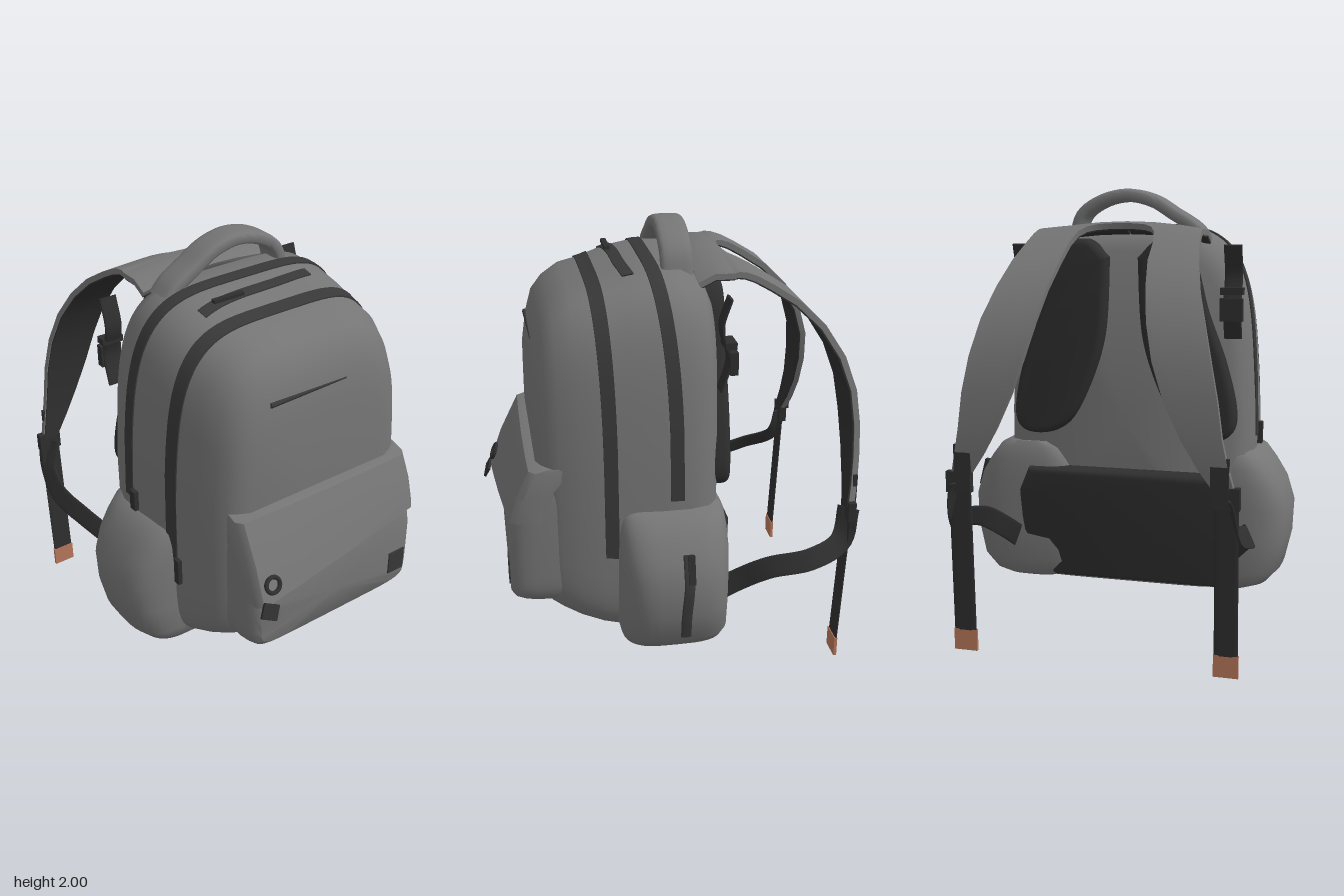
import * as THREE from 'three';
import { toCreasedNormals } from 'three/addons/utils/BufferGeometryUtils.js';

const V = (x, y, z) => new THREE.Vector3(x, y, z);
const mat = (name, color) => Object.assign(new THREE.MeshStandardMaterial({ color }), { name });
const spow = (v, p) => Math.sign(v) * Math.abs(v) ** p;
const lerp = THREE.MathUtils.lerp;

// Closed skin through equal-length rings, capped at both ends and turned outwards.
function loft(rings, crease = 0.7) {
  const n = rings[0].length, pts = rings.flat(), idx = [];
  for (let r = 0; r < rings.length - 1; r++) {
    for (let i = 0; i < n; i++) {
      const j = (i + 1) % n, a = r * n;
      idx.push(a + i, a + j, a + n + j, a + i, a + n + j, a + n + i);
    }
  }
  const cap = (start, flip) => {
    const c = V(0, 0, 0);
    for (let i = 0; i < n; i++) c.addScaledVector(pts[start + i], 1 / n);
    pts.push(c);
    for (let i = 0; i < n; i++) {
      const a = start + i, b = start + (i + 1) % n;
      idx.push(pts.length - 1, flip ? b : a, flip ? a : b);
    }
  };
  cap(0, true);
  cap((rings.length - 1) * n, false);
  let vol = 0;
  for (let i = 0; i < idx.length; i += 3) {
    vol += pts[idx[i]].dot(V(0, 0, 0).crossVectors(pts[idx[i + 1]], pts[idx[i + 2]]));
  }
  if (vol < 0) idx.reverse();
  const g = new THREE.BufferGeometry().setFromPoints(pts);
  g.setIndex(idx);
  return toCreasedNormals(g, crease);
}

// Rounded band swept along a curve, its width kept along dir.
function band(points, width, thick, dir, steps = 24, n = 5) {
  const curve = new THREE.CatmullRomCurve3(points.map(p => V(...p)));
  const rings = [];
  for (let k = 0; k <= steps; k++) {
    const c = curve.getPoint(k / steps), t = curve.getTangent(k / steps);
    const normal = V(0, 0, 0).crossVectors(t, dir).normalize();
    const side = V(0, 0, 0).crossVectors(normal, t).normalize();
    rings.push(Array.from({ length: 16 }, (_, i) => {
      const a = (i + 0.5) / 16 * Math.PI * 2;
      return c.clone().addScaledVector(side, spow(Math.cos(a), 2 / n) * width / 2)
        .addScaledVector(normal, spow(Math.sin(a), 2 / n) * thick / 2);
    }));
  }
  return loft(rings);
}

// Main body sections: z, half width, bottom, top, centre x
const BODY = [[-0.188, 0.5, 0.23, 1.72, -0.01], [-0.15, 0.555, 0.17, 1.79, -0.01], [-0.06, 0.582, 0.14, 1.835, -0.012],
  [0.06, 0.582, 0.145, 1.835, -0.012], [0.2, 0.57, 0.17, 1.81, -0.01], [0.32, 0.55, 0.2, 1.77, 0],
  [0.42, 0.528, 0.24, 1.75, 0.008], [0.5, 0.497, 0.28, 1.7, 0.012], [0.55, 0.47, 0.31, 1.64, 0.015],
  [0.58, 0.435, 0.36, 1.54, 0.015], [0.6, 0.38, 0.44, 1.42, 0.015]];
function bodyPoint(a, z, pad = 0) {
  let i = 0;
  while (i < BODY.length - 2 && z > BODY[i + 1][0]) i++;
  const k = (z - BODY[i][0]) / (BODY[i + 1][0] - BODY[i][0]);
  const [w, y0, y1, cx] = [1, 2, 3, 4].map(j => lerp(BODY[i][j], BODY[i + 1][j], k));
  const s = Math.sin(a), e = s > 0 ? 0.46 : 0.25, v = spow(s, e);
  const taper = 1 - 0.08 * Math.max(v, 0);
  return V(cx + (w * taper + pad) * spow(Math.cos(a), e), (y0 + y1) / 2 + ((y1 - y0) / 2 + pad) * v, z);
}
const circle = (n, f) => Array.from({ length: n }, (_, i) => f(i / n * Math.PI * 2));

// Thin strip lying on the body between two angles
function bodyStrip(a0, a1, zAt, width) {
  const rings = [];
  for (let k = 0; k <= 96; k++) {
    const a = lerp(a0, a1, k / 96), z = zAt(k / 96);
    rings.push([[-1, 0.006], [0, 0.006], [1, 0.006], [1, -0.01], [0, -0.01], [-1, -0.01]]
      .map(([d, pad]) => bodyPoint(a, z + d * width / 2, pad)));
  }
  return loft(rings);
}

// Shoulder strap rows: y, z, inner edge, outer edge
const STRAP = [[1.81, -0.13, 0, 0.37], [1.84, -0.2, 0, 0.37], [1.835, -0.27, 0, 0.37], [1.832, -0.287, 0, 0.37],
  [1.831, -0.292, 0.06, 0.37], [1.828, -0.305, 0.11, 0.37], [1.82, -0.335, 0.145, 0.37], [1.8, -0.38, 0.17, 0.375],
  [1.758, -0.45, 0.185, 0.385], [1.685, -0.56, 0.19, 0.405], [1.575, -0.67, 0.21, 0.435], [1.445, -0.752, 0.235, 0.475],
  [1.3, -0.8, 0.27, 0.51], [1.15, -0.815, 0.32, 0.54], [1, -0.815, 0.39, 0.56], [0.88, -0.805, 0.46, 0.585],
  [0.78, -0.79, 0.53, 0.61]];
function strapLayer(s, lo, hi, inset) {
  return loft(STRAP.map(([y, z, a, b], i) => {
    const p = STRAP[Math.max(i - 1, 0)], q = STRAP[Math.min(i + 1, STRAP.length - 1)];
    const ty = q[0] - p[0], tz = q[1] - p[1], l = Math.hypot(ty, tz);
    // the outer edges droop near the yoke
    const droop = 0.04 * Math.max(0, 1 - i / 10);
    const at = (u, d) => {
      const x = lerp(a + inset, b - inset, u);
      return V(s * x - 0.03, y - tz / l * d - droop * (x / 0.37) ** 2, z + ty / l * d);
    };
    const across = [0, 0.33, 0.67, 1];
    return [...across.map(u => at(u, hi)), ...across.reverse().map(u => at(u, lo))];
  }));
}

export function createModel() {
  const root = new THREE.Group();
  root.name = 'backpack';
  const fabric = mat('grey fabric', 0x757575), trim = mat('dark zip', 0x383838);
  const padding = mat('black padding', 0x2e2e2e), leather = mat('tan leather', 0xb4765a);
  const add = (name, geo, m, pos = [0, 0, 0], rot = [0, 0, 0]) => {
    const mesh = new THREE.Mesh(geo, m);
    mesh.name = name;
    mesh.position.set(...pos);
    mesh.rotation.set(...rot);
    root.add(mesh);
  };
  const box = (...d) => new THREE.BoxGeometry(...d);
  const X = V(1, 0, 0), Z = V(0, 0, 1);

  // Body and its zips
  add('body', loft(BODY.map(b => circle(192, a => bodyPoint(a, b[0])))), fabric);
  add('frontZip', bodyStrip(-0.05, Math.PI + 0.05, k => 0.285 + 0.03 * Math.sin(k * Math.PI), 0.06), trim);
  add('mainZip', bodyStrip(-0.0003, Math.PI + 0.0003, k => 0.0 + 0.06 * Math.sin(k * Math.PI), 0.06), trim);
  add('topZip', bodyStrip(1.33, 1.9, k => lerp(0.165, 0.205, k), 0.05), trim);
  add('topZipPull', box(0.15, 0.015, 0.025), padding, [-0.19, 1.83, 0.205]);
  add('frontZipPull', box(0.02, 0.13, 0.035), padding, [-0.56, 0.63, 0.33]);
  add('mainZipPull', box(0.03, 0.1, 0.04), padding, [-0.6, 0.88, 0.05]);
  add('frontSlit', new THREE.CylinderGeometry(0.012, 0.004, 0.4, 8).rotateZ(Math.PI / 2), trim, [-0.05, 1.51, 0.583]);

  // Front pocket: z, half width, bottom, top
  const pocket = [[0.5, 0.475, 0.33, 1.03], [0.62, 0.475, 0.335, 1], [0.67, 0.465, 0.345, 0.9],
    [0.71, 0.45, 0.36, 0.78], [0.735, 0.42, 0.39, 0.64]];
  add('frontPocket', loft(pocket.map(([z, w, y0, y1]) => circle(64, a => V(0.025 + w * spow(Math.cos(a), 0.3),
    (y0 + y1) / 2 + (y1 - y0) / 2 * spow(Math.sin(a), 0.3), z)))), fabric);
  add('pocketPatch', box(0.09, 0.115, 0.009), trim, [0.39, 0.51, 0.737]);

  // Slanted flap, wrapped back at both ends: x, z offset
  const flap = [[-0.45, -0.12], [-0.445, -0.03], [-0.42, 0], [-0.2, 0.004], [0.05, 0.006], [0.3, 0.004],
    [0.47, 0], [0.5, -0.03], [0.51, -0.12]];
  add('pocketFlap', loft(flap.map(([x, dz]) => {
    const k = (x + 0.45) / 0.96, yb = lerp(0.66, 0.785, k), zb = lerp(0.79, 0.725, k);
    const line = [[1.035, 0.58], [1.02, 0.635], [lerp(1.02, yb, 0.5), lerp(0.635, zb, 0.5) + 0.012], [yb, zb]];
    return [...line.map(([y, z]) => V(x, y, z + dz)), ...line.reverse().map(([y, z]) => V(x, y, z + dz - 0.02))];
  })), fabric);
  add('flapRing', new THREE.TorusGeometry(0.035, 0.01, 8, 24), padding, [-0.36, 0.75, 0.765], [-0.4, 0, 0]);
  add('flapTab', box(0.08, 0.07, 0.012), padding, [-0.4, 0.645, 0.8], [-0.4, 0, -0.5]);

  // Grab handle
  add('handle', band([[-0.36, 1.77, -0.05], [-0.31, 1.825, -0.05], [-0.215, 1.885, -0.05], [-0.12, 1.942, -0.05],
    [0, 1.969, -0.05], [0.12, 1.945, -0.05], [0.215, 1.88, -0.05], [0.25, 1.77, -0.05]], 0.14, 0.06, Z, 36, 4), fabric);

  // Side pocket zip, on the left only
  add('sidePocketZip', band([[0.741, 0.29, -0.01], [0.757, 0.4, -0.01], [0.762, 0.55, -0.02], [0.724, 0.69, -0.02]],
    0.045, 0.016, Z), trim);
  add('sideZipPull', box(0.02, 0.13, 0.03), padding, [0.75, 0.63, -0.03], [0, 0, 0.25]);

  // Back pads, as outlines with a soft edge
  const pad = (name, pts, curved, z, tilt) => {
    const shape = new THREE.Shape();
    shape.moveTo(...pts[0]);
    if (curved) shape.splineThru([...pts.slice(1), pts[0]].map(p => new THREE.Vector2(...p)));
    else pts.slice(1).forEach(p => shape.lineTo(...p));
    const g = new THREE.ExtrudeGeometry(shape, { depth: 0.05, bevelThickness: 0.03, bevelSize: 0.03,
      bevelSegments: 4, curveSegments: 30 });
    add(name, toCreasedNormals(g, 0.7), padding, [0, 0, z], [tilt, 0, 0]);
  };
  pad('lumbarPad', [[-0.48, 0.22], [0.45, 0.22], [0.46, 0.6], [0.42, 0.69], [-0.44, 0.69], [-0.49, 0.6]],
    false, -0.163, -0.1);

  for (const s of [1, -1]) {
    const side = s > 0 ? 'left' : 'right';
    // Bulging side pocket: y, reach, depth scale
    const bag = [[0.178, 0.6, 0.86], [0.198, 0.665, 0.94], [0.26, 0.722, 1], [0.4, 0.755, 1], [0.55, 0.762, 1],
      [0.66, 0.727, 1], [0.74, 0.677, 0.98], [0.8, 0.63, 0.94], [0.83, 0.575, 0.88]];
    const zc = s > 0 ? 0.015 : 0.055;
    add(side + 'SidePocket', loft(bag.map(([y, x, d]) => circle(40, a =>
      V(s * (0.45 + (x - 0.45) * spow(Math.cos(a), 0.57)), y, zc + 0.247 * d * spow(Math.sin(a), 0.57)))), 1), fabric);

    // Curved upper back pad
    pad(side + 'BackPad', [[0.1, 1.68], [0.18, 1.745], [0.29, 1.69], [0.36, 1.45], [0.45, 1.2], [0.49, 0.98],
      [0.44, 0.91], [0.3, 0.94], [0.2, 1.1], [0.12, 1.35]].map(([x, y]) => [s * x - 0.015, y]), true, -0.222, 0);

    // Shoulder strap with lining, adjuster and hanging end
    add(side + 'ShoulderStrap', strapLayer(s, -0.014, 0.012, 0), fabric);
    add(side + 'StrapLining', strapLayer(s, -0.021, -0.014, 0.004), padding);
    const x = s * 0.575 - 0.03;
    add(side + 'StrapTab', box(0.075, 0.13, 0.02), padding, [x - s * 0.025, 0.86, -0.808]);
    add(side + 'Adjuster', box(0.11, 0.09, 0.035), padding, [x, 0.76, -0.79]);
    add(side + 'Webbing', band([[x, 0.8, -0.79], [x, 0.45, -0.775], [x, 0.09, -0.76]], 0.1, 0.01, X, 8), padding);
    add(side + 'LeatherEnd', box(0.105, 0.095, 0.014), leather, [x, 0.0475, -0.758]);
    add(side + 'LowerWebbing', band([[x, 0.76, -0.79], [s * 0.61 - 0.03, 0.61, -0.75], [s * 0.645 - 0.02, 0.555, -0.6],
      [s * 0.61 - 0.02, 0.51, -0.42], [s * 0.54 - 0.015, 0.42, -0.29], [s * 0.49, 0.34, -0.18]],
      0.1, 0.01, V(s * -0.5, 0.9, 0.3).normalize(), 32), padding);

    // Compression strap with buckle
    const bx = s * 0.49 - 0.025;
    add(side + 'CompressionStrap', band([[bx, 1.75, -0.235], [bx, 1.62, -0.2], [bx, 1.48, -0.235], [bx, 1.34, -0.2]],
      0.08, 0.014, X), padding);
    add(side + 'Buckle', box(0.1, 0.1, 0.035), padding, [bx, 1.47, -0.25]);
    add(side + 'BuckleBar', box(0.1, 0.03, 0.05), padding, [bx, 1.55, -0.235]);
  }
  return root;
}
